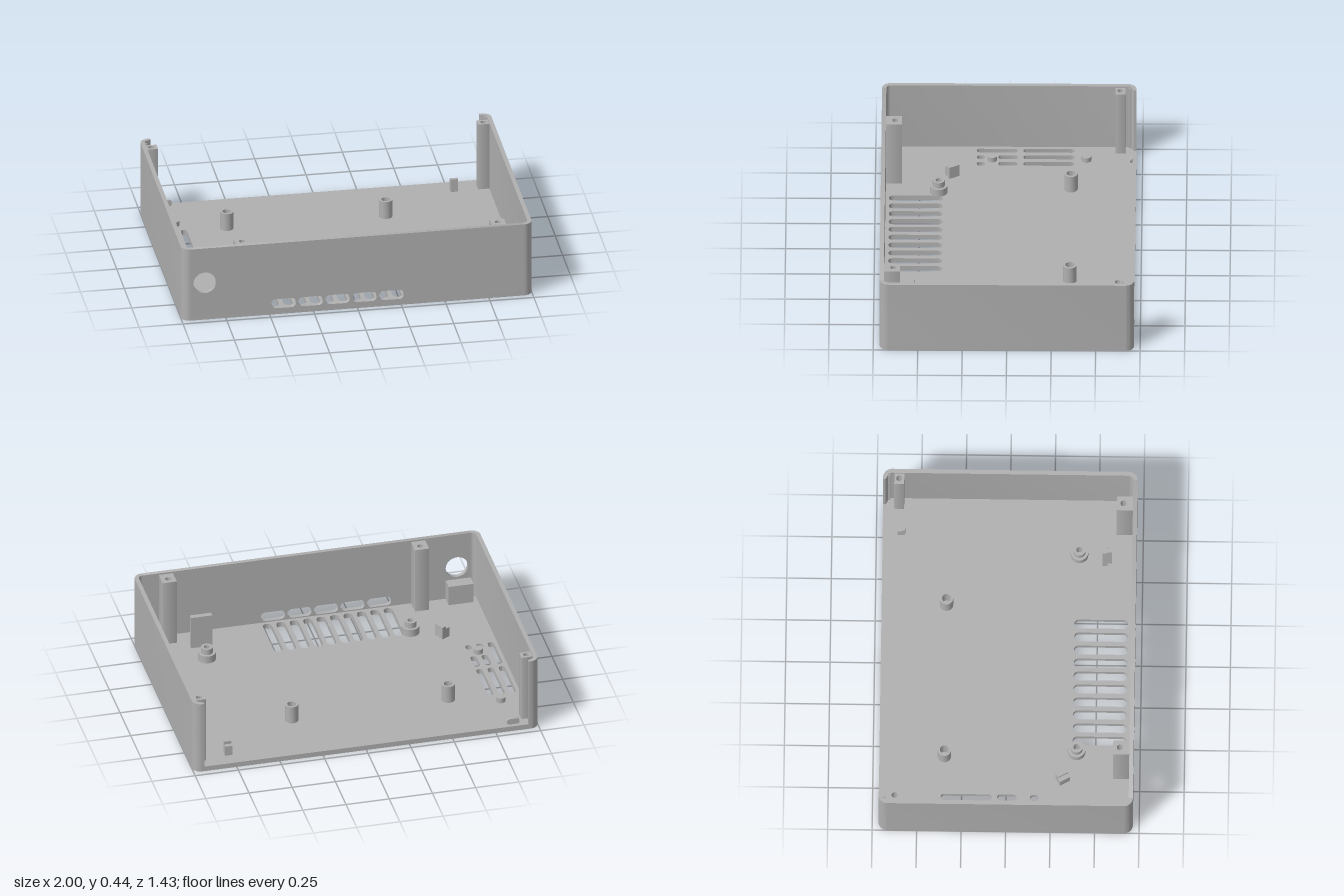
import * as THREE from 'three';
import { toCreasedNormals } from 'three/addons/utils/BufferGeometryUtils.js';

const FLOOR = 0.03, TOP = 0.445, POST_TOP = 0.435;
const HX = 1, HZ = 0.715, R = 0.05, T = 0.024;

export function createModel() {
  const model = new THREE.Group();
  model.name = 'enclosureBase';
  const grey = new THREE.MeshStandardMaterial({ color: 0xb0b0b0 });
  grey.name = 'grey plastic';

  const add = (name, geometry) => {
    const mesh = new THREE.Mesh(toCreasedNormals(geometry, 0.6), grey);
    mesh.name = name;
    model.add(mesh);
    return mesh;
  };
  const extrude = (shape, depth) =>
    new THREE.ExtrudeGeometry(shape, { depth, bevelEnabled: false, curveSegments: 10 });
  // Plan outlines use (x, -z) and rise from y0 to y1.
  const plan = (shape, y0, y1) =>
    extrude(shape, y1 - y0).rotateX(-Math.PI / 2).translate(0, y0, 0);
  const block = (name, x0, x1, y0, y1, z0, z1) =>
    add(name, new THREE.BoxGeometry(x1 - x0, y1 - y0, z1 - z0)
      .translate((x0 + x1) / 2, (y0 + y1) / 2, (z0 + z1) / 2));

  // Rounded rectangle, used for the floor and all the slots
  const rounded = (Type, x0, x1, y0, y1, r) => {
    const s = new Type();
    s.absarc(x1 - r, y1 - r, r, 0, Math.PI / 2);
    s.absarc(x0 + r, y1 - r, r, Math.PI / 2, Math.PI);
    s.absarc(x0 + r, y0 + r, r, Math.PI, Math.PI * 1.5);
    s.absarc(x1 - r, y0 + r, r, Math.PI * 1.5, Math.PI * 2);
    s.closePath();
    return s;
  };
  const circle = (Type, x, y, r) => new Type().absarc(x, y, r, 0, Math.PI * 2);

  // Floor with ventilation slots
  const floor = rounded(THREE.Shape, -HX, HX, -HZ, HZ, R);
  const floorSlot = (x, z0, z1, w) =>
    floor.holes.push(rounded(THREE.Path, x - w / 2, x + w / 2, -z1, -z0, w / 2 - 0.001));
  for (let i = 0; i < 10; i++) floorSlot(-0.462 + i * 0.0777, 0.37, 0.672, 0.052);
  for (const x of [-0.937, -0.872, -0.807]) {
    floorSlot(x, -0.367, -0.08, 0.036);
    if (x < -0.9) floorSlot(x, -0.05, 0.182, 0.036);
    else {
      floorSlot(x, -0.05, 0.06, 0.036);
      floorSlot(x, 0.135, 0.182, 0.036);
    }
  }
  add('floor', plan(floor, 0, FLOOR));

  // Front wall with round opening and slots
  const front = rounded(THREE.Shape, -HX + R, HX - R, FLOOR, TOP, 0.0001);
  front.holes.push(circle(THREE.Path, -0.87, 0.23, 0.065));
  for (let i = 0; i < 5; i++) {
    const x = -0.49 + i * 0.1535;
    front.holes.push(rounded(THREE.Path, x, x + 0.14, 0.037, 0.094, 0.026));
  }
  add('frontWall', extrude(front, T).translate(0, 0, HZ - T));

  // Side walls with rounded corners and a short lip at the open back
  for (const side of [-1, 1]) {
    const pts = [];
    const arc = (cz, r, a0, a1) => {
      for (let i = 0; i <= 10; i++) {
        const a = a0 + (a1 - a0) * i / 10;
        pts.push(new THREE.Vector2(side * (HX - R + r * Math.cos(a)), cz + r * Math.sin(a)));
      }
    };
    const q = Math.PI / 2, c = HZ - R;
    arc(-c, R, -q, 0);
    arc(c, R, 0, q);
    pts.push(new THREE.Vector2(side * 0.938, HZ), new THREE.Vector2(side * 0.938, HZ - 0.014));
    arc(c, R - T, q * 0.9, 0);
    arc(-c, R - T, 0, -q);
    add(side < 0 ? 'rightWall' : 'leftWall', plan(new THREE.Shape(pts), FLOOR, TOP));
  }

  // Screw posts, each with a bore
  const post = (name, x0, x1, z0, z1, hx, hz) => {
    const s = rounded(THREE.Shape, x0, x1, -z1, -z0, 0.0001);
    s.holes.push(circle(THREE.Path, hx, -hz, 0.017));
    add(name, plan(s, FLOOR, POST_TOP));
  };
  post('frontPostRight', -0.687, -0.605, 0.6, 0.692, -0.645, 0.638);
  post('frontPostLeft', 0.773, 0.855, 0.6, 0.692, 0.814, 0.638);
  for (const s of [-1, 1]) {
    const xs = [s * 0.912, s * 0.978].sort((a, b) => a - b);
    post('backPost', xs[0], xs[1], -0.652, -0.596, s * 0.947, -0.624);
    // Narrow rail beside the panel groove
    const rail = [s * 0.963, s * 0.978].sort((a, b) => a - b);
    block('panelRail', rail[0], rail[1], FLOOR, POST_TOP, -0.69, -0.675);
  }

  // Standoffs: rings on the floor
  const ring = (name, x, z, r, bore, y0, y1) => {
    const s = circle(THREE.Shape, x, -z, r);
    if (bore) s.holes.push(circle(THREE.Path, x, -z, bore));
    add(name, plan(s, y0, y1));
  };
  for (const x of [-0.563, 0.343]) ring('tallStandoff', x, -0.35, 0.038, 0.025, FLOOR, 0.135);
  for (const x of [-0.528, 0.65]) {
    ring('standoffBase', x, 0.393, 0.05, 0.018, FLOOR, 0.075);
    ring('standoffTip', x, 0.393, 0.034, 0.018, 0.075, 0.11);
  }
  for (const z of [-0.435, 0.095]) ring('locatingPeg', -0.846, z, 0.027, 0, FLOOR, 0.06);

  // Board clips
  block('tallClip', 0.587, 0.71, FLOOR, 0.23, 0.522, 0.552);
  block('tallClipBack', 0.6, 0.697, FLOOR, 0.215, 0.552, 0.575);
  block('smallClip', 0.755, 0.797, FLOOR, 0.09, -0.632, -0.607);
  block('smallClipHook', 0.755, 0.797, FLOOR, 0.108, -0.607, -0.588);
  const angled = new THREE.Group();
  angled.name = 'angledClip';
  for (const [x, h] of [[-0.013, 0.06], [0.013, 0.075]]) {
    const m = new THREE.Mesh(new THREE.BoxGeometry(0.026, h, 0.066), grey);
    m.name = 'clipHalf';
    m.position.set(x, h / 2, 0);
    angled.add(m);
  }
  angled.position.set(-0.693, FLOOR, 0.318);
  angled.rotation.y = 0.5;
  model.add(angled);

  // Low shelf behind the round opening
  block('openingShelf', -0.95, -0.805, FLOOR, 0.15, 0.62, 0.692);

  // Rounded panel stop at the back edge
  add('panelStop', extrude(rounded(THREE.Shape, -0.892, -0.82, FLOOR - 0.005, 0.065, 0.018), 0.014)
    .translate(0, 0, -0.692));

  return model;
}
